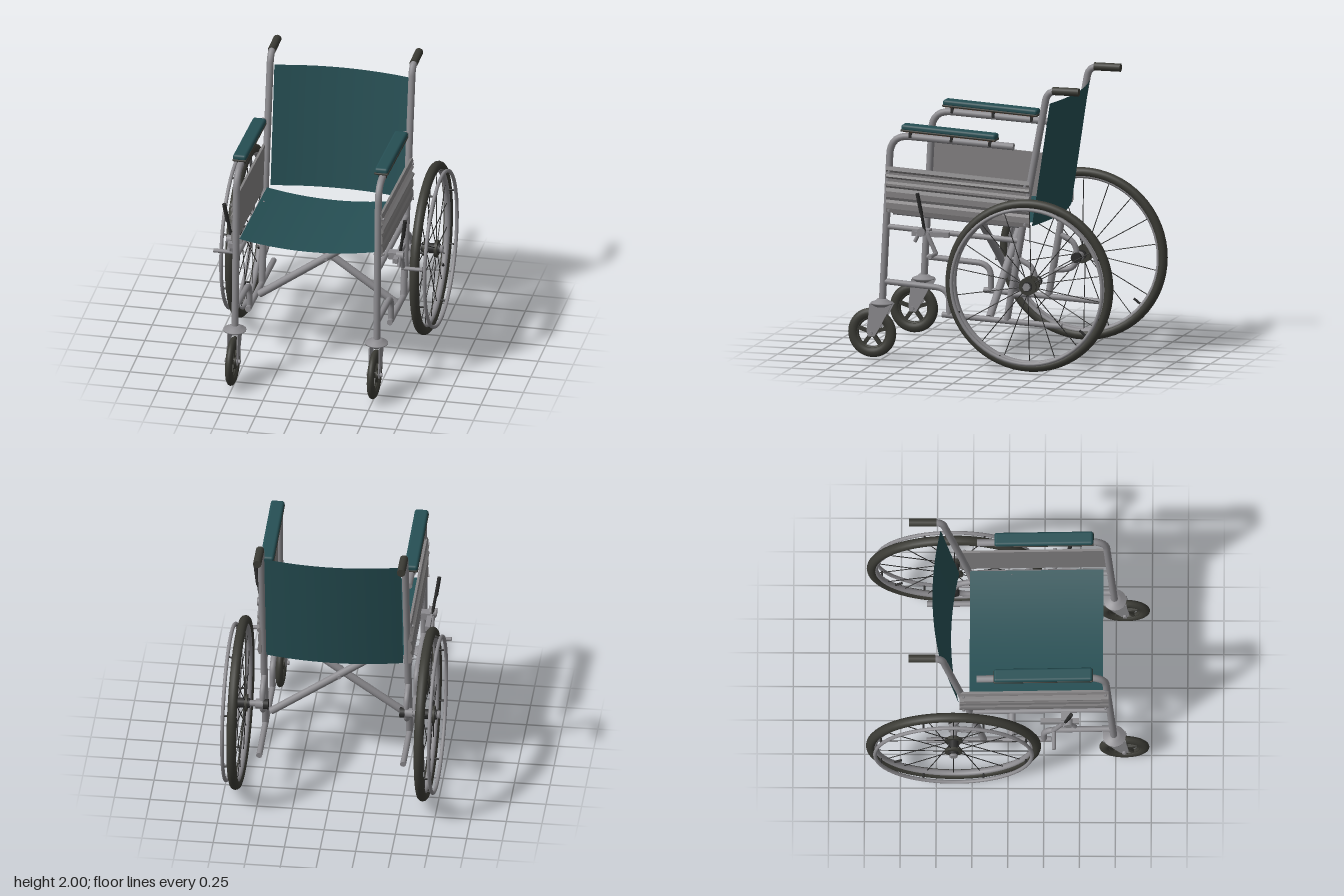
import * as THREE from 'three';
import { RoundedBoxGeometry } from 'three/addons/geometries/RoundedBoxGeometry.js';

const mat = (name, color, side = THREE.FrontSide) => {
  const m = new THREE.MeshStandardMaterial({ color, side });
  m.name = name;
  return m;
};
const V = (x, y, z) => new THREE.Vector3(x, y, z);

export function createModel() {
  const steel = mat('steel', 0x8c8b8f);
  const panelGrey = mat('panelGrey', 0x848283);
  const rubber = mat('rubber', 0x3b3b35);
  const dark = mat('darkMetal', 0x2c2c2c);
  const fabric = mat('tealFabric', 0x264f54, THREE.DoubleSide);
  const wood = mat('brownBoard', 0x5a3a28);

  const model = new THREE.Group();
  model.name = 'wheelchair';

  const add = (parent, name, geo, material, x = 0, y = 0, z = 0) => {
    const m = new THREE.Mesh(geo, material);
    m.name = name;
    m.position.set(x, y, z);
    parent.add(m);
    return m;
  };

  // straight rod between two points
  const rod = (parent, name, a, b, r, material, sides = 14) => {
    const d = b.clone().sub(a);
    const m = add(parent, name, new THREE.CylinderGeometry(r, r, d.length(), sides), material);
    m.position.copy(a).addScaledVector(d, 0.5);
    m.quaternion.setFromUnitVectors(V(0, 1, 0), d.normalize());
    return m;
  };

  // bent pipe with rounded corners and closed ends
  const pipe = (parent, name, pts, r, material, bend = 0.08) => {
    const path = new THREE.CurvePath();
    let last = pts[0];
    for (let i = 1; i < pts.length - 1; i++) {
      const toward = (q) => {
        const d = q.clone().sub(pts[i]);
        return pts[i].clone().addScaledVector(d, Math.min(bend / d.length(), 0.49));
      };
      const a = toward(pts[i - 1]), b = toward(pts[i + 1]);
      path.add(new THREE.LineCurve3(last, a));
      path.add(new THREE.QuadraticBezierCurve3(a, pts[i], b));
      last = b;
    }
    path.add(new THREE.LineCurve3(last, pts[pts.length - 1]));
    add(parent, name, new THREE.TubeGeometry(path, 64, r, 14), material);
    [0, 1].forEach((t) => {
      const cap = add(parent, name + 'End', new THREE.CircleGeometry(r, 14), material);
      cap.position.copy(path.getPointAt(t));
      cap.quaternion.setFromUnitVectors(V(0, 0, 1), path.getTangentAt(t).multiplyScalar(t ? 1 : -1));
    });
  };

  // ring and disc whose axis runs along x
  const ring = (R, r, squash = 1, seg = 64) =>
    new THREE.TorusGeometry(R, r, 12, seg).scale(1, 1, squash).rotateY(Math.PI / 2);
  const disc = (r, w, seg = 24) => new THREE.CylinderGeometry(r, r, w, seg).rotateZ(Math.PI / 2);

  // sagging sling seat and bowed backrest
  const seat = new THREE.PlaneGeometry(2, 1, 20, 4);
  const back = new THREE.PlaneGeometry(2, 1, 20, 4);
  for (let i = 0; i < seat.attributes.position.count; i++) {
    const u = seat.attributes.position.getX(i), t = seat.attributes.position.getY(i) + 0.5;
    const bow = 1 - u * u;
    seat.attributes.position.setXYZ(i, u * 0.49, 1.07 - 0.05 * t - 0.05 * bow, 0.66 - 0.93 * t);
    back.attributes.position.setXYZ(i, u * 0.48, 1.0 + 0.875 * t, -0.345 - 0.13 * t - 0.055 * bow);
  }
  seat.computeVertexNormals();
  back.computeVertexNormals();
  add(model, 'seat', seat, fabric);
  add(model, 'backrest', back, fabric);

  // folding cross brace
  rod(model, 'crossBraceFront', V(-0.48, 0.335, 0.025), V(0.48, 1.01, 0.025), 0.027, steel);
  rod(model, 'crossBraceRear', V(0.48, 0.335, -0.035), V(-0.48, 1.01, -0.035), 0.027, steel);
  rod(model, 'crossBolt', V(0, 0.67, 0.065), V(0, 0.67, -0.075), 0.014, steel);

  const buildSide = (s) => {
    const g = new THREE.Group();
    g.name = s > 0 ? 'leftSide' : 'rightSide';
    model.add(g);
    const X = 0.505 * s;
    const P = (y, z) => V(X, y, z);

    // frame tubes
    pipe(g, 'frontPostAndArm', [P(0.4, 0.737), P(1.6, 0.675), P(1.56, -0.22)], 0.025, steel, 0.14);
    pipe(g, 'rearPostAndHandle', [P(0.33, -0.17), P(1.2, -0.32), P(1.97, -0.465), P(1.97, -0.68)], 0.025, steel, 0.07);
    rod(g, 'handGrip', P(1.97, -0.505), P(1.97, -0.695), 0.029, rubber, 18);
    rod(g, 'middleRail', P(0.95, 0.71), P(0.895, -0.28), 0.02, steel);
    pipe(g, 'lowerRail', [P(0.56, 0.73), P(0.53, 0.25), P(0.34, 0.25)], 0.021, steel, 0.1);
    rod(g, 'bottomRail', P(0.345, 0.3), P(0.305, -0.57), 0.021, steel);
    rod(g, 'seatRail', V(0.485 * s, 1.05, 0.66), V(0.485 * s, 1.0, -0.27), 0.018, steel);
    pipe(g, 'axleBracket', [P(0.77, -0.25), P(0.71, -0.375), P(0.53, -0.375), P(0.51, -0.2)], 0.02, steel, 0.09);

    // ribbed side panel
    const profile = [[0.515, 1.01], [0.532, 1.01], [0.54, 1.04], [0.54, 1.08], [0.53, 1.1], [0.54, 1.12],
      [0.54, 1.16], [0.53, 1.185], [0.545, 1.2], [0.545, 1.215], [0.528, 1.23], [0.528, 1.25],
      [0.545, 1.265], [0.53, 1.28], [0.53, 1.295], [0.54, 1.31], [0.532, 1.335], [0.515, 1.335]];
    const panel = new THREE.ExtrudeGeometry(
      new THREE.Shape(profile.map(([x, y]) => new THREE.Vector2(x * s, y))),
      { depth: 1.04, bevelEnabled: false }).translate(0, 0, -0.34);
    const pos = panel.attributes.position;
    for (let i = 0; i < pos.count; i++) pos.setY(i, pos.getY(i) + 0.055 * (pos.getZ(i) + 0.1));
    panel.computeVertexNormals();
    add(g, 'sidePanel', panel, panelGrey);
    [[1.34, 0.68], [1.07, 0.68], [1.29, -0.31], [1.02, -0.31]].forEach(([y, z]) =>
      add(g, 'panelScrew', disc(0.01, 0.02, 10), steel, 0.538 * s, y, z));

    // armrest pad with its board and clips
    const arm = new THREE.Group();
    arm.name = 'armrest';
    arm.position.set(X, 1.635, 0.245);
    arm.rotation.x = -0.055;
    g.add(arm);
    add(arm, 'armPad', new RoundedBoxGeometry(0.096, 0.044, 0.69, 3, 0.018), fabric, 0, 0.008, 0);
    add(arm, 'armPadTrim', new RoundedBoxGeometry(0.1, 0.016, 0.694, 2, 0.007), rubber, 0, -0.012, 0);
    add(arm, 'armBoard', new THREE.BoxGeometry(0.075, 0.008, 0.66), wood, 0, -0.019, 0);
    [0.28, -0.02, -0.3].forEach((z) => add(arm, 'armClip', new THREE.BoxGeometry(0.056, 0.045, 0.02), dark, 0, -0.04, z));

    // rear wheel
    const wheel = new THREE.Group();
    wheel.name = 'rearWheel';
    wheel.position.set(0.657 * s, 0.612, -0.38);
    g.add(wheel);
    add(wheel, 'tyre', ring(0.577, 0.034), rubber);
    add(wheel, 'rim', ring(0.55, 0.018, 1.2), steel);
    add(wheel, 'pushRim', ring(0.548, 0.013), steel, 0.068 * s);
    add(wheel, 'hub', disc(0.035, 0.13), dark);
    [-0.04, 0.04].forEach((x) => add(wheel, 'hubFlange', disc(0.062, 0.02), rubber, x * s));
    add(wheel, 'hubNut', disc(0.028, 0.03, 6), steel, 0.07 * s);
    for (let i = 0; i < 18; i++) {
      const a = (i / 18) * Math.PI * 2, y = Math.cos(a), z = Math.sin(a);
      rod(wheel, 'spoke', V((i % 2 ? 0.035 : -0.035) * s, y * 0.05, z * 0.05), V(0, y * 0.545, z * 0.545), 0.0032, dark, 6);
    }
    for (let i = 0; i < 8; i++) {
      const a = ((i + 0.5) / 8) * Math.PI * 2, y = Math.cos(a) * 0.548, z = Math.sin(a) * 0.548;
      rod(wheel, 'pushRimPin', V(0, y, z), V(0.068 * s, y, z), 0.007, dark, 8);
    }
    rod(wheel, 'valve', V(0, -0.335, -0.41), V(0, -0.3, -0.365), 0.009, dark, 8);
    rod(g, 'axle', V(0.47 * s, 0.612, -0.38), V(0.62 * s, 0.612, -0.38), 0.022, steel);
    add(g, 'axleSleeve', disc(0.036, 0.035), dark, 0.478 * s, 0.612, -0.38);
    add(g, 'axleCollar', disc(0.034, 0.05), steel, 0.525 * s, 0.612, -0.38);

    // caster fork
    const fork = new THREE.Shape([[0.82, 0.4], [0.66, 0.4], [0.69, 0.34], [0.76, 0.21], [0.785, 0.17],
      [0.83, 0.17], [0.84, 0.21], [0.825, 0.34]].map(([z, y]) => new THREE.Vector2(-z, y)));
    [-0.035, 0.035].forEach((x) => add(g, 'forkBlade',
      new THREE.ExtrudeGeometry(fork, { depth: 0.008, bevelEnabled: false }).rotateY(Math.PI / 2), steel, X + x - 0.004));
    add(g, 'forkCrown', new THREE.LatheGeometry([[0, -0.02], [0.05, -0.02], [0.08, 0], [0.08, 0.008], [0.045, 0.022],
      [0.032, 0.035], [0, 0.035]].map(([r, y]) => new THREE.Vector2(r, y)), 24), steel, X, 0.4, 0.74);

    // caster wheel
    const caster = new THREE.Group();
    caster.name = 'casterWheel';
    caster.position.set(X, 0.192, 0.81);
    g.add(caster);
    add(caster, 'casterTyre', ring(0.139, 0.036, 0.72, 40), rubber);
    add(caster, 'casterRim', ring(0.108, 0.011, 1.3, 40), rubber);
    add(caster, 'casterHub', disc(0.03, 0.05), rubber);
    add(caster, 'casterBolt', disc(0.015, 0.11, 10), steel);
    for (let i = 0; i < 5; i++) {
      const spoke = add(caster, 'casterSpoke', new THREE.BoxGeometry(0.024, 0.1, 0.026).translate(0, 0.06, 0), rubber);
      spoke.rotation.x = (i / 5) * Math.PI * 2;
    }

    // parking brake
    const brake = new THREE.Group();
    brake.name = 'brake';
    g.add(brake);
    add(brake, 'brakeClamp', new THREE.BoxGeometry(0.07, 0.05, 0.06), steel, 0.555 * s, 0.93, 0.4);
    add(brake, 'brakePlate', new THREE.BoxGeometry(0.035, 0.035, 0.27), steel, 0.585 * s, 0.925, 0.36);
    add(brake, 'brakePivot', disc(0.03, 0.05, 16), steel, 0.605 * s, 0.94, 0.42);
    rod(brake, 'brakeLever', V(0.6 * s, 0.94, 0.4), V(0.625 * s, 1.1, 0.42), 0.011, dark, 10);
    rod(brake, 'brakeLeverGrip', V(0.625 * s, 1.08, 0.418), V(0.645 * s, 1.22, 0.44), 0.014, dark, 10);
    rod(brake, 'brakeLink', V(0.605 * s, 0.95, 0.43), V(0.605 * s, 0.87, 0.47), 0.014, steel, 10);
    rod(brake, 'brakeArm', V(0.605 * s, 0.93, 0.38), V(0.605 * s, 0.79, 0.315), 0.016, steel, 10);
    rod(brake, 'brakeBar', V(0.595 * s, 0.79, 0.32), V(0.745 * s, 0.79, 0.32), 0.014, steel, 12);
  };
  [1, -1].forEach(buildSide);

  return model;
}
